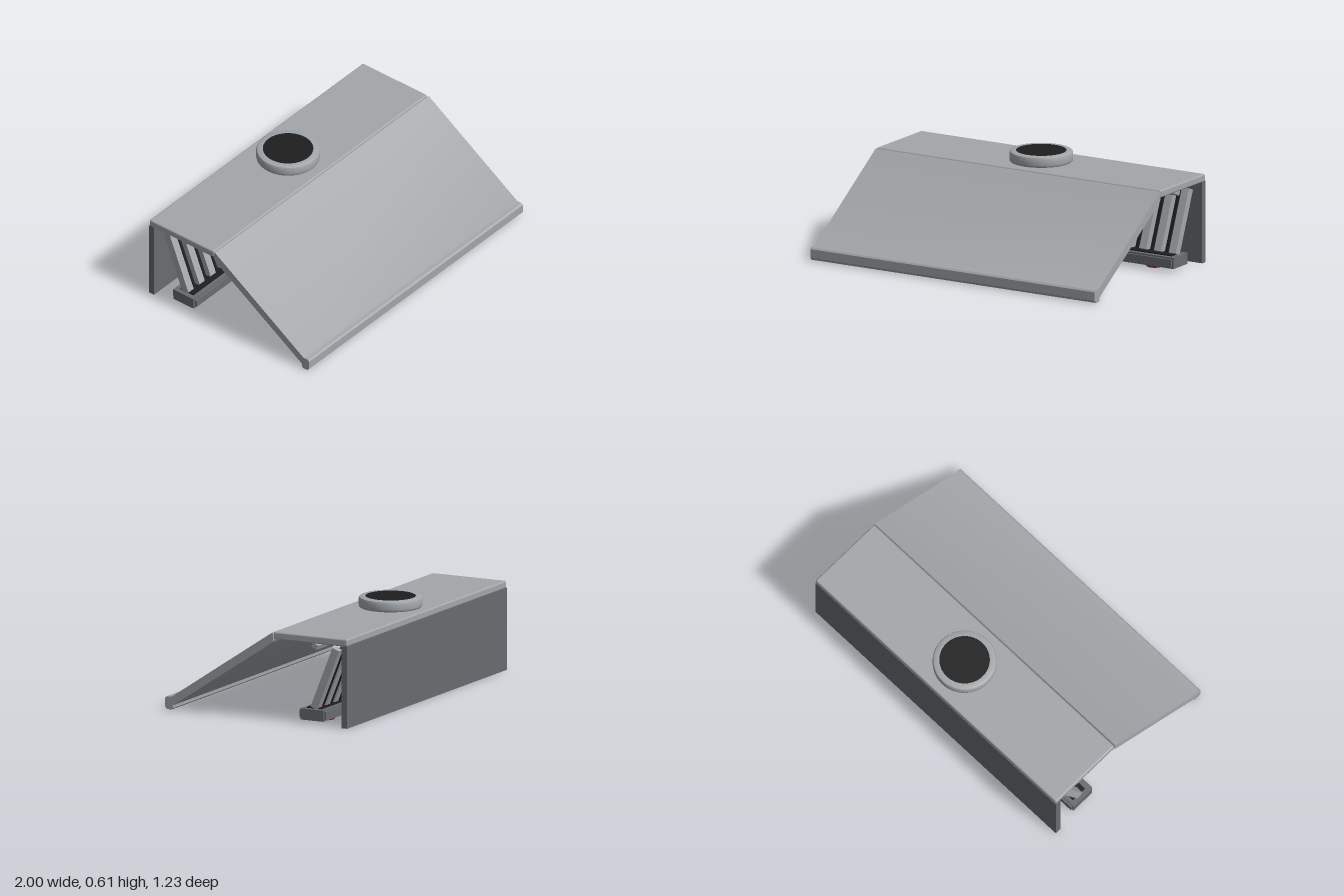
import * as THREE from 'three';
import { RoundedBoxGeometry } from 'three/addons/geometries/RoundedBoxGeometry.js';
import { toCreasedNormals } from 'three/addons/utils/BufferGeometryUtils.js';

const mat = (name, color) => {
  const m = new THREE.MeshStandardMaterial({ color });
  m.name = name;
  return m;
};

export function createModel() {
  const light = mat('light grey', 0xa3a7aa);
  const dark = mat('dark grey', 0x696c70);
  const black = mat('black', 0x1e1e1e);
  const red = mat('red', 0x9c2a20);
  const model = new THREE.Group();

  const add = (name, geometry, material, x = 0, y = 0, z = 0, parent = model) => {
    const mesh = new THREE.Mesh(geometry, material);
    mesh.name = name;
    mesh.position.set(x, y, z);
    parent.add(mesh);
    return mesh;
  };
  const box = (w, h, d) => new THREE.BoxGeometry(w, h, d);
  const lathe = (points) => toCreasedNormals(
    new THREE.LatheGeometry(points.map(p => new THREE.Vector2(...p)), 48), 0.7);
  // extrudes a (z, y) profile along the full width
  const sweep = (points, width) => {
    const shape = new THREE.Shape(points.map(p => new THREE.Vector2(...p)));
    const g = new THREE.ExtrudeGeometry(shape, { depth: width, bevelEnabled: false });
    g.translate(0, 0, -width / 2);
    g.rotateY(-Math.PI / 2);
    return toCreasedNormals(g, 0.6);
  };

  // sloping front cover with a thick lower lip
  add('frontCover', sweep([
    [-0.108, 0.535], [-0.114, 0.525], [-0.114, 0.487], [-0.104, 0.471],
    [0.56, 0.03], [0.56, 0.012], [0.57, 0.003], [0.602, 0.003],
    [0.615, 0.018], [0.615, 0.07], [0.605, 0.08], [0.572, 0.08],
  ], 2), light);

  // flat top and rear wall
  add('topPlate', new RoundedBoxGeometry(2, 0.046, 0.496, 3, 0.01), light, 0, 0.517, -0.364);
  add('rearWall', box(2, 0.497, 0.038), dark, 0, 0.2485, -0.594);

  // round knob with a black cap
  add('knob', lathe([[0, 0.538], [0.182, 0.538], [0.188, 0.545], [0.19, 0.555],
    [0.19, 0.59], [0.186, 0.6], [0.176, 0.605], [0.15, 0.605], [0.15, 0.6], [0, 0.6]]),
    light, 0, 0, -0.367);
  add('knobCap', new THREE.CylinderGeometry(0.15, 0.15, 0.006, 48), black, 0, 0.602, -0.367);

  // stepped mount and catch bar below the top
  add('mountUpper', new THREE.CylinderGeometry(0.11, 0.11, 0.03, 40), light, 0, 0.483, -0.275);
  add('mountLower', new THREE.CylinderGeometry(0.077, 0.077, 0.02, 40), light, 0, 0.463, -0.265);
  add('catchBar', new RoundedBoxGeometry(1.92, 0.036, 0.044, 2, 0.006), light, 0, 0.47, -0.372)
    .rotation.x = -0.4;

  // base bar with stepped edges
  const base = new THREE.Group();
  base.name = 'baseBar';
  base.position.z = -0.365;
  model.add(base);
  add('baseRim', box(1.94, 0.046, 0.18), dark, 0, 0.057, 0, base);
  add('baseCore', box(1.96, 0.068, 0.155), dark, 0, 0.056, 0, base);
  add('baseStrip', box(1.9, 0.008, 0.1), black, 0, 0.092, 0, base);
  for (const x of [-0.8, 0.8]) {
    add('foot', lathe([[0, 0], [0.04, 0], [0.05, 0.004], [0.055, 0.012], [0.055, 0.024], [0, 0.024]]),
      red, x, 0, 0, base);
  }

  // leaning row of slats, with fine dark ribs between the light ones
  const rack = new THREE.Group();
  rack.name = 'slatRack';
  rack.position.set(0, 0.278, -0.44);
  rack.rotation.x = -0.38;
  model.add(rack);
  const slat = box(0.05, 0.397, 0.047);
  const rib = box(0.018, 0.385, 0.03);
  const count = 18, pitch = 1.87 / count;
  for (let i = 0; i <= count; i++) {
    const x = (i - count / 2) * pitch;
    add('slat', slat, light, x, 0, 0, rack);
    if (i < count) add('rib', rib, black, x + pitch / 2, 0, -0.006, rack);
  }
  return model;
}
